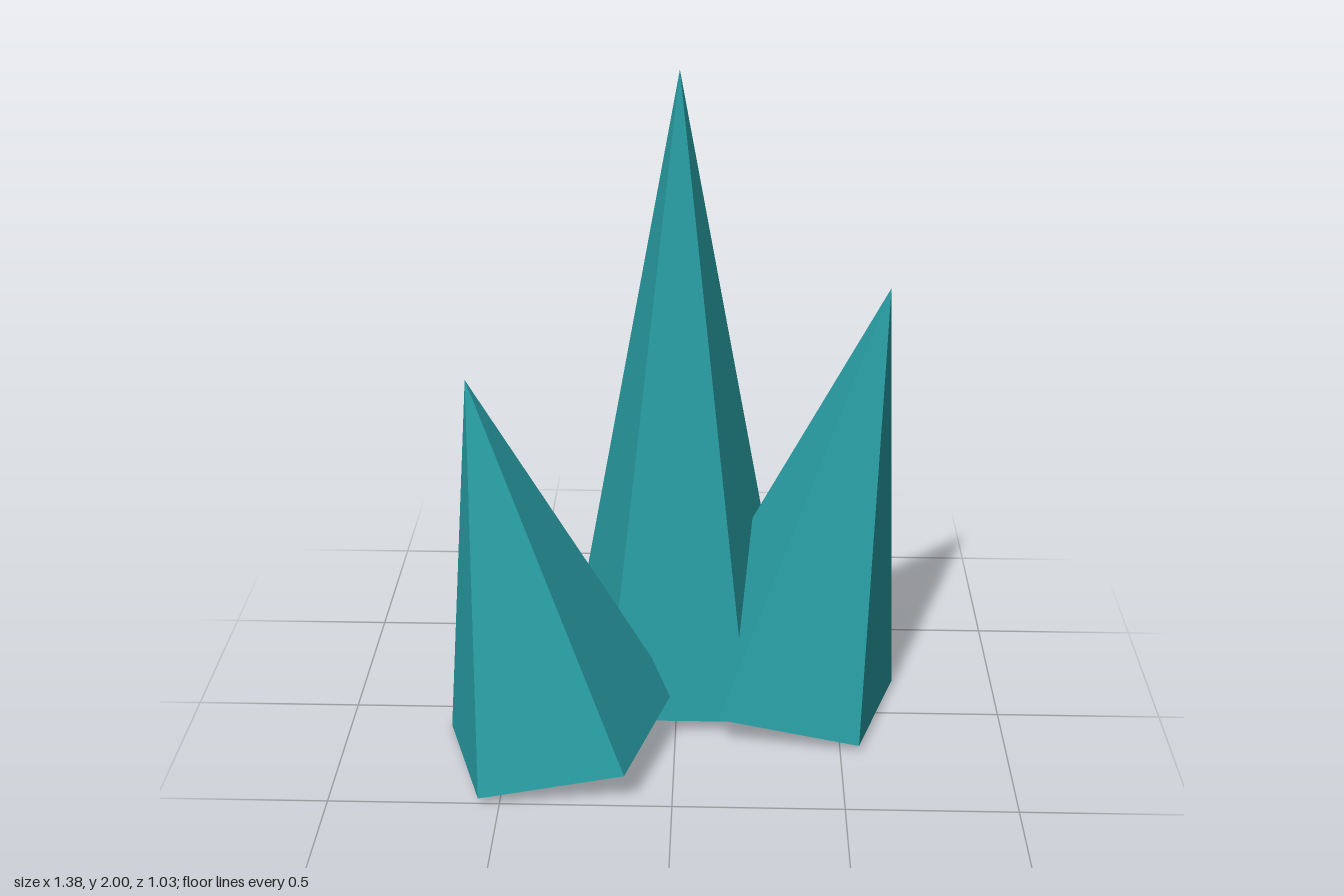
import * as THREE from 'three';

export function createModel() {
  const model = new THREE.Group();
  model.name = 'crystalCluster';

  const teal = new THREE.MeshStandardMaterial({ color: 0x289ca2, flatShading: true });
  teal.name = 'teal';

  // Five-sided spike that pivots at the centre of its base, one corner to the back
  function addSpike(name, height, x, y, z, tilt) {
    const geometry = new THREE.ConeGeometry(0.367, height, 5);
    geometry.translate(0, height / 2, 0).rotateY(Math.PI);
    const spike = new THREE.Mesh(geometry, teal);
    spike.name = name;
    spike.position.set(x, y, z);
    spike.rotation.z = tilt;
    model.add(spike);
  }

  // Tall upright spike and two shorter ones leaning outward
  addSpike('centreSpike', 1.938, 0.005, 0.062, -0.15, 0);
  addSpike('rightSpike', 1.168, -0.348, 0.074, 0.216, 0.2);
  addSpike('leftSpike', 1.343, 0.344, 0.074, -0.077, -0.2);

  return model;
}
